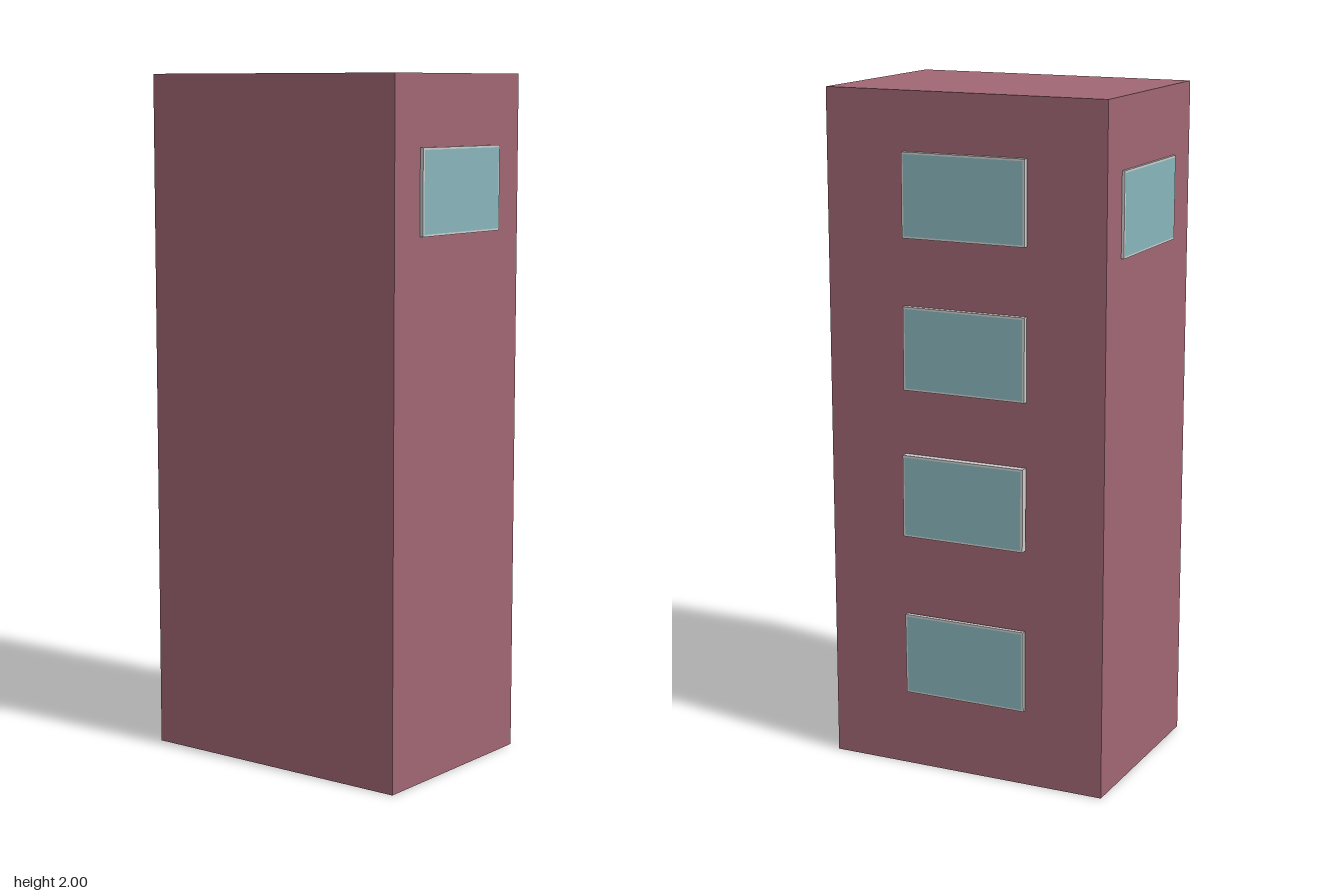
import * as THREE from 'three';

const wallMat = new THREE.MeshStandardMaterial({ color: 0xa06673 });
const frameMat = new THREE.MeshStandardMaterial({ color: 0xcccccc });
const glassMat = new THREE.MeshStandardMaterial({ color: 0x88b5bc });

const W = 0.38, H = 0.243, RIM = 0.006;

// Window facing +z: shallow frame block with a glass pane on its face.
// The group origin lies on the outer face; depth reaches back to the wall.
function makeWindow(name, depth) {
  const g = new THREE.Group();
  g.name = name;
  const frame = new THREE.Mesh(new THREE.BoxGeometry(W, H, depth), frameMat);
  frame.name = 'windowFrame';
  frame.position.z = -depth / 2 - 0.001;
  const glass = new THREE.Mesh(new THREE.PlaneGeometry(W - 2 * RIM, H - 2 * RIM), glassMat);
  glass.name = 'windowGlass';
  g.add(frame, glass);
  return g;
}

export function createModel() {
  const model = new THREE.Group();
  model.name = 'towerBlock';

  // Main block
  const tower = new THREE.Mesh(new THREE.BoxGeometry(0.61, 2, 0.864), wallMat);
  tower.name = 'tower';
  tower.position.set(-0.015, 1, -0.002);
  model.add(tower);

  // Top-floor windows at the front and back
  const front = makeWindow('frontWindow', 0.015);
  front.position.set(-0.011, 1.677, 0.441);
  const back = makeWindow('backWindow', 0.015);
  back.position.set(-0.002, 1.677, -0.443);
  back.rotation.y = Math.PI;
  model.add(front, back);

  // Column of side windows: [centre height, outer x, depth, tilt]
  [
    [1.709, 0.307, 0.02, 0],
    [1.27, 0.307, 0.02, 0],
    [0.837, 0.318, 0.023, 0],
    [0.353, 0.311, 0.013, 0.015],
  ].forEach(([y, x, depth, tilt], i) => {
    const side = makeWindow('sideWindow' + (i + 1), depth);
    side.position.set(x, y, -0.006);
    side.rotation.set(tilt, Math.PI / 2, 0, 'YXZ');
    model.add(side);
  });

  return model;
}
